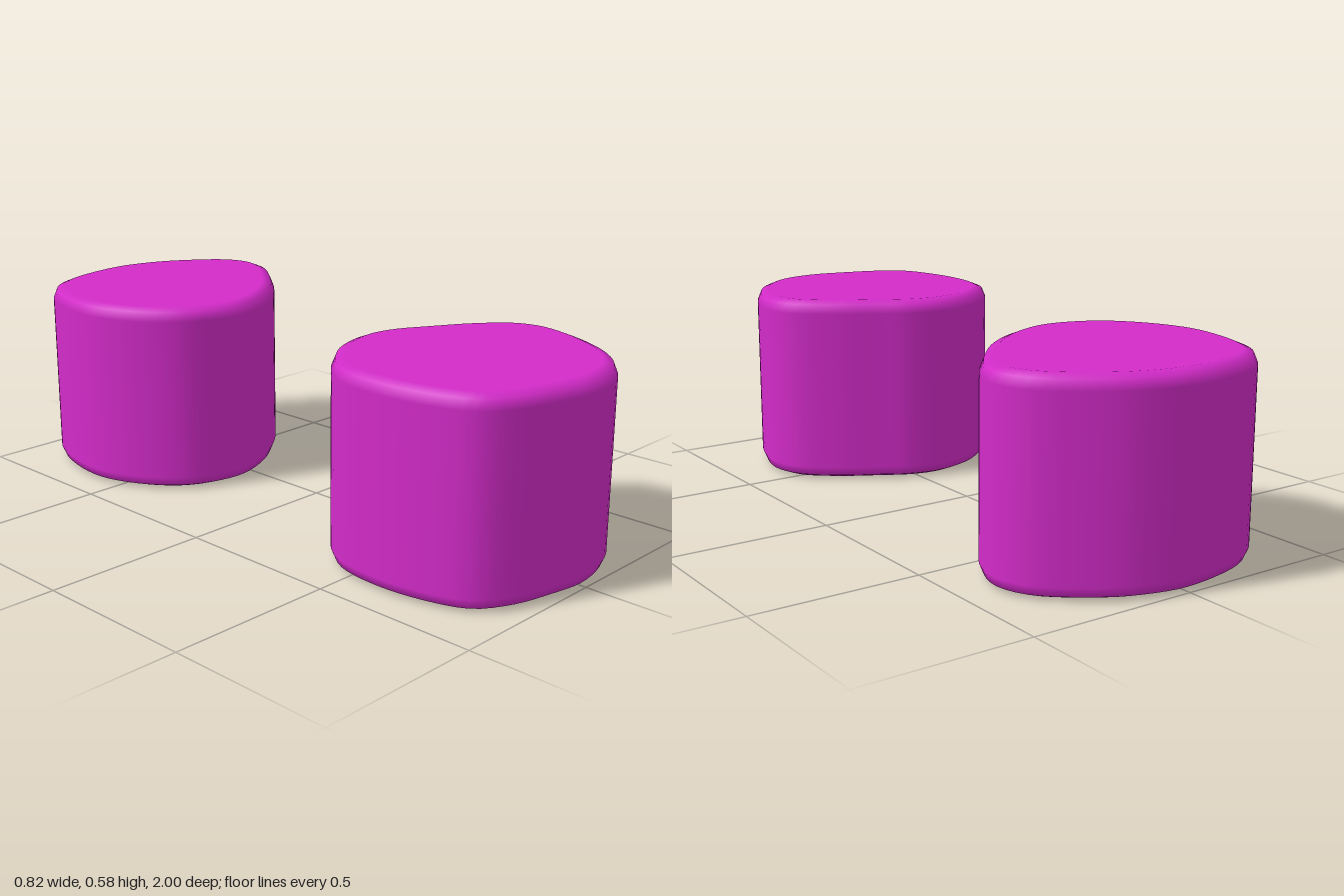
import * as THREE from 'three';

const HEIGHT = 0.583, BEVEL = 0.04, SIDES = 72;

// Outlines as [x, z], running clockwise seen from above
const backOutline = [
  [0, -1], [0.11, -0.982], [0.21, -0.942], [0.355, -0.833], [0.396, -0.768], [0.409, -0.7], [0.392, -0.63],
  [0.35, -0.56], [0.2, -0.392], [0.055, -0.295], [-0.087, -0.257], [-0.25, -0.305], [-0.355, -0.42],
  [-0.41, -0.575], [-0.39, -0.75], [-0.345, -0.86], [-0.28, -0.928], [-0.19, -0.97],
];
const frontOutline = [
  [-0.066, 0.25], [0.03, 0.27], [0.12, 0.318], [0.245, 0.393], [0.342, 0.486], [0.37, 0.585], [0.335, 0.73],
  [0.248, 0.88], [0.145, 0.965], [0, 1], [-0.12, 0.983], [-0.25, 0.947], [-0.343, 0.885], [-0.39, 0.77],
  [-0.41, 0.6], [-0.38, 0.44], [-0.26, 0.315], [-0.16, 0.266],
];

// Upright pillar: flat caps, straight wall and a rounded rim at both ends
function pillarGeometry(outline) {
  const curve = new THREE.CatmullRomCurve3(outline.map(([x, z]) => new THREE.Vector3(x, 0, z)), true);
  const centre = new THREE.Vector3();
  outline.forEach(([x, z]) => centre.add(new THREE.Vector3(x, 0, z).divideScalar(outline.length)));

  // Rows from bottom centre to top centre: inset (null is the centre), height, slope of the normal
  const k = BEVEL * (1 - Math.SQRT1_2), q = Math.PI / 2;
  const lower = [[null, 0, -q], [BEVEL, 0, -q], [k, k, -q / 2], [0, BEVEL, 0]];
  const rows = [...lower, ...lower.map(([i, y, s]) => [i, HEIGHT - y, -s]).reverse()];

  const positions = [], normals = [], indices = [];
  for (const [inset, y, slope] of rows) {
    for (let j = 0; j <= SIDES; j++) {
      const u = (j % SIDES) / SIDES;
      const t = curve.getTangentAt(u);
      const out = new THREE.Vector3(t.z, 0, -t.x);
      const p = inset === null ? centre : curve.getPointAt(u).addScaledVector(out, -inset);
      positions.push(p.x, y, p.z);
      normals.push(out.x * Math.cos(slope), Math.sin(slope), out.z * Math.cos(slope));
    }
  }
  // Quads between rows; the caps are single triangles meeting at the centre
  for (let i = 0; i < rows.length - 1; i++) {
    for (let j = 0; j < SIDES; j++) {
      const a = i * (SIDES + 1) + j, b = a + 1, c = a + SIDES + 1, d = c + 1;
      if (i > 0) indices.push(a, c, b);
      if (i < rows.length - 2) indices.push(b, c, d);
    }
  }
  const geometry = new THREE.BufferGeometry();
  geometry.setAttribute('position', new THREE.Float32BufferAttribute(positions, 3));
  geometry.setAttribute('normal', new THREE.Float32BufferAttribute(normals, 3));
  geometry.setIndex(indices);
  return geometry;
}

export function createModel() {
  const group = new THREE.Group();
  group.name = 'roundedPillars';
  const material = new THREE.MeshStandardMaterial({ color: 0xd22bc8 });
  for (const [name, outline] of [['frontPillar', frontOutline], ['backPillar', backOutline]]) {
    const mesh = new THREE.Mesh(pillarGeometry(outline), material);
    mesh.name = name;
    group.add(mesh);
  }
  return group;
}
